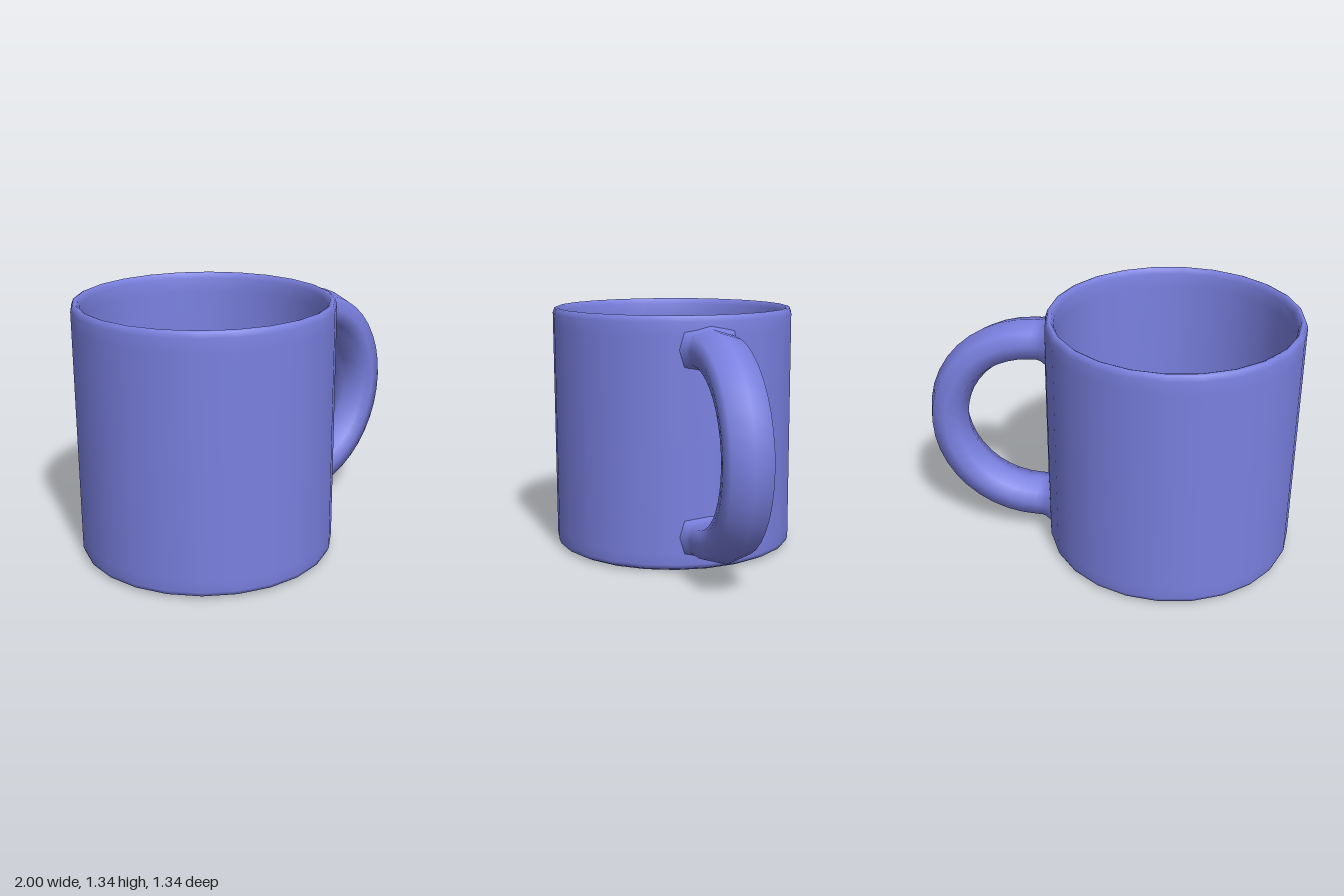
import * as THREE from 'three';

const CENTER_X = -0.33;

// Cup wall, rim and floor as one turned profile, slightly raised where the handle joins
function cupGeometry() {
  const profile = [
    [0, 0], [0.56, 0], [0.63, 0.002], [0.662, 0.018], [0.67, 0.04], [0.67, 0.1],
    [0.67, 0.3], [0.67, 0.68], [0.67, 1.05], [0.67, 1.24], [0.67, 1.31],
    [0.66, 1.337], [0.648, 1.342], [0.636, 1.337], [0.625, 1.31], [0.62, 1.24],
    [0.615, 0.7], [0.61, 0.15], [0.595, 0.09], [0.55, 0.07], [0.45, 0.065], [0, 0.065],
  ].map(([r, y]) => new THREE.Vector2(r, y));
  const geo = new THREE.LatheGeometry(profile, 24);
  const p = geo.attributes.position;
  for (let i = 0; i < p.count; i++) {
    const x = p.getX(i), y = p.getY(i);
    if (x > 0.669 && y > 0.09 && y < 1.25) p.setX(i, x + 0.015);
  }
  return geo;
}

// Handle swept from octagonal sections along a half circle, flared into the cup
function handleGeometry() {
  const cx = 0.405, cy = 0.68, R = 0.49, arcSteps = 20;
  const section = [[0.105, 0], [0.072, 0.108], [0, 0.125], [-0.072, 0.108],
    [-0.105, 0], [-0.072, -0.108], [0, -0.125], [0.072, -0.108]];
  const flare = [[0.305, 1.35], [0.335, 1.18], [0.355, 1.06], [0.38, 1]];
  const stations = flare.map(([x, s]) => ({ x, a: Math.PI / 2, s }));
  for (let i = 0; i <= arcSteps; i++) {
    stations.push({ x: cx, a: Math.PI / 2 - Math.PI * i / arcSteps, s: 1 });
  }
  [...flare].reverse().forEach(([x, s]) => stations.push({ x, a: -Math.PI / 2, s }));

  const pos = [], index = [], n = section.length;
  stations.forEach(({ x, a, s }, i) => {
    section.forEach(([out, z], j) => {
      const r = R + out * s;
      pos.push(x + r * Math.cos(a), cy + r * Math.sin(a), z * s);
      if (i + 1 < stations.length) {
        const A = i * n + j, B = i * n + (j + 1) % n;
        index.push(A, B, A + n, B, B + n, A + n);
      }
    });
  });
  const geo = new THREE.BufferGeometry();
  geo.setAttribute('position', new THREE.Float32BufferAttribute(pos, 3));
  geo.setIndex(index);
  geo.computeVertexNormals();
  return geo;
}

export function createModel() {
  const group = new THREE.Group();
  group.name = 'mug';
  const glaze = new THREE.MeshStandardMaterial({ color: 0x7a80e0 });
  glaze.name = 'periwinkle glaze';

  const cup = new THREE.Mesh(cupGeometry(), glaze);
  cup.name = 'cup';
  cup.position.x = CENTER_X;

  const handle = new THREE.Mesh(handleGeometry(), glaze);
  handle.name = 'handle';

  group.add(cup, handle);
  return group;
}
